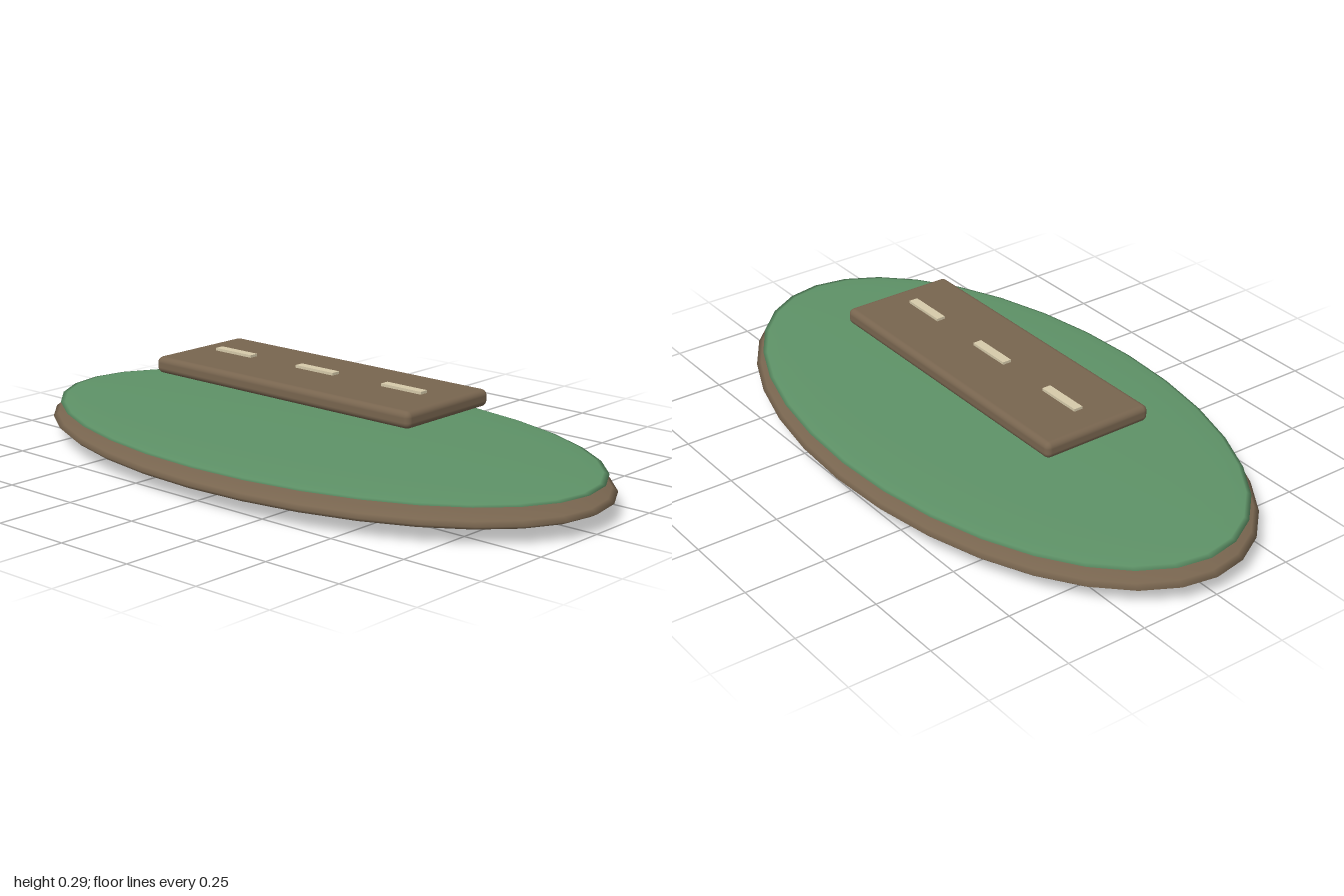
import * as THREE from 'three';
import { RoundedBoxGeometry } from 'three/addons/geometries/RoundedBoxGeometry.js';

const material = (name, color) => {
  const m = new THREE.MeshStandardMaterial({ color });
  m.name = name;
  return m;
};

export function createModel() {
  const group = new THREE.Group();
  group.name = 'floatingPlankIsland';
  const brown = material('earth brown', 0x78654f);
  const green = material('grass green', 0x5e9267);
  const cream = material('pale cream', 0xd6caaa);

  const add = (name, geometry, mat, x, y, z) => {
    const mesh = new THREE.Mesh(geometry, mat);
    mesh.name = name;
    mesh.position.set(x, y, z);
    group.add(mesh);
    return mesh;
  };

  // Flattened spheres: earth base with a thinner grass cap
  const disc = (rx, ry, rz) => new THREE.SphereGeometry(1, 32, 16).scale(rx, ry, rz);
  add('earthBase', disc(1, 0.056, 0.545), brown, 0, 0.059, 0);
  add('grassCap', disc(0.973, 0.016, 0.525), green, 0, 0.105, 0);

  // Hovering plank with soft edges
  add('plank', new RoundedBoxGeometry(0.99, 0.05, 0.36, 3, 0.018), brown, 0, 0.256, 0);

  // Row of dashes just above the plank
  for (const x of [-0.33, 0, 0.33]) {
    add('dash', new THREE.BoxGeometry(0.146, 0.008, 0.028), cream, x, 0.289, 0);
  }
  return group;
}
